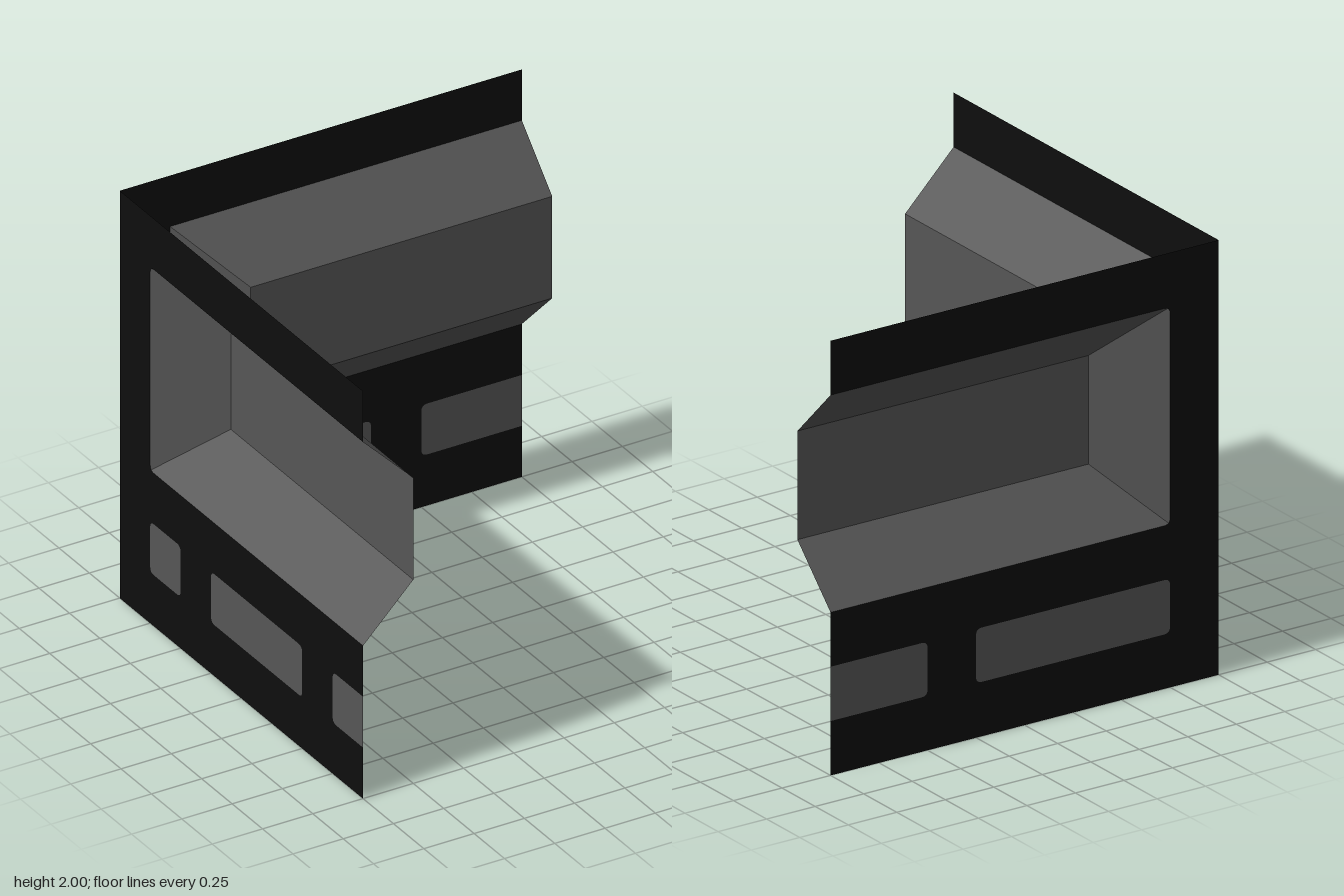
import * as THREE from 'three';

const frameMat = new THREE.MeshStandardMaterial({ color: 0x0e0e0e, side: THREE.DoubleSide });
frameMat.name = 'black frame';
const panelMat = new THREE.MeshStandardMaterial({ color: 0x565656, side: THREE.DoubleSide });
panelMat.name = 'grey panel';

const R = 0.03; // corner radius of the openings

function part(name, geometry, material) {
  const mesh = new THREE.Mesh(geometry, material);
  mesh.name = name;
  return mesh;
}

// Opening that runs out through the open end of the wall (u = 2)
function traceNotch(path, u, v0, v1) {
  path.lineTo(2, v0);
  path.lineTo(u + R, v0);
  path.quadraticCurveTo(u, v0, u, v0 + R);
  path.lineTo(u, v1 - R);
  path.quadraticCurveTo(u, v1, u + R, v1);
  path.lineTo(2, v1);
}

// Closed opening with rounded corners
function roundedRect(u0, u1, v0, v1) {
  const s = new THREE.Shape();
  s.moveTo(u0 + R, v0);
  s.lineTo(u1 - R, v0);
  s.quadraticCurveTo(u1, v0, u1, v0 + R);
  s.lineTo(u1, v1 - R);
  s.quadraticCurveTo(u1, v1, u1 - R, v1);
  s.lineTo(u0 + R, v1);
  s.quadraticCurveTo(u0, v1, u0, v1 - R);
  s.lineTo(u0, v0 + R);
  s.quadraticCurveTo(u0, v0, u0 + R, v0);
  return s;
}

// Sloped panel pushed in by depth d, open at u = 2
function bayGeometry(d) {
  const outer = [[0.25, 1.75, 0], [0.25, 0.75, 0], [2, 0.75, 0], [2, 1.75, 0]];
  const inner = [[0.5, 1.5, d], [0.5, 1, d], [2, 1, d], [2, 1.5, d]];
  const quads = [
    inner,
    [outer[0], outer[1], inner[1], inner[0]],
    [outer[1], outer[2], inner[2], inner[1]],
    [outer[3], outer[0], inner[0], inner[3]],
  ];
  const pos = quads.flatMap(([a, b, c, e]) => [a, b, c, a, c, e].flat());
  const g = new THREE.BufferGeometry();
  g.setAttribute('position', new THREE.Float32BufferAttribute(pos, 3));
  g.computeVertexNormals();
  return g;
}

// One wall, u measured from the shared corner
function makeWall(name, depth, windows, endWindow) {
  const wall = new THREE.Group();
  wall.name = name;

  const frame = new THREE.Shape();
  frame.moveTo(0, 0);
  frame.lineTo(2, 0);
  traceNotch(frame, endWindow, 0.25, 0.5);
  traceNotch(frame, 0.25, 0.75, 1.75);
  frame.lineTo(2, 2);
  frame.lineTo(0, 2);
  frame.closePath();

  for (const [u0, u1] of windows) {
    const pane = roundedRect(u0, u1, 0.25, 0.5);
    frame.holes.push(pane);
    wall.add(part('lowerPanel', new THREE.ShapeGeometry(pane, 6), panelMat));
  }
  const endPane = new THREE.Shape();
  endPane.moveTo(2, 0.25);
  traceNotch(endPane, endWindow, 0.25, 0.5);
  endPane.closePath();

  wall.add(
    part('endLowerPanel', new THREE.ShapeGeometry(endPane, 6), panelMat),
    part('wallFrame', new THREE.ShapeGeometry(frame, 6), frameMat),
    part('slopedBay', bayGeometry(depth), panelMat),
  );
  wall.position.set(-1, 0, -1);
  return wall;
}

export function createModel() {
  const model = new THREE.Group();
  model.name = 'cornerWall';

  const back = makeWall('backWall', 0.25, [[0.25, 1.25]], 1.5);
  const side = makeWall('sideWall', -0.25, [[0.25, 0.5], [0.75, 1.5]], 1.75);
  side.rotation.y = -Math.PI / 2; // u runs along +z, bay points to +x

  model.add(back, side);
  return model;
}
